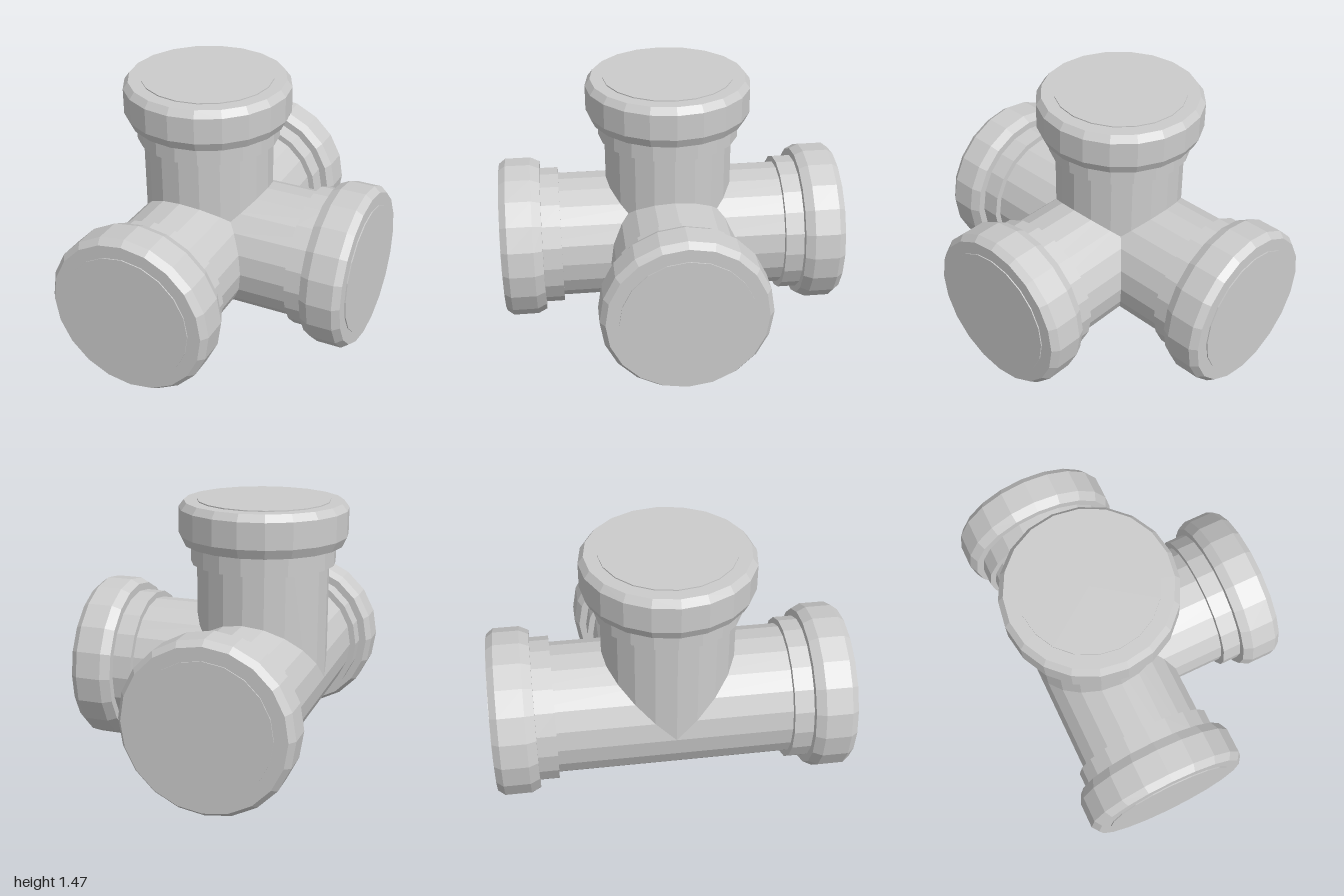
import * as THREE from 'three';

const SIDES = 20;
const PIPE_R = 0.37;
const material = new THREE.MeshStandardMaterial({ color: 0xcccccc, flatShading: true });

const lathe = (points) =>
  new THREE.LatheGeometry(points.map(([r, y]) => new THREE.Vector2(r, y)), SIDES);

// Pipe along +y with a closed outer end; a branch is cut to saddle onto the main run
function pipeGeometry(saddled) {
  const geometry = lathe([[PIPE_R, 0], [PIPE_R, 1], [0, 1]]);
  const p = geometry.attributes.position;
  if (saddled) {
    for (let i = 0; i < p.count; i++) {
      if (p.getY(i) < 0.001) p.setY(i, Math.abs(p.getZ(i)));
    }
    geometry.computeVertexNormals();
  }
  return geometry;
}

// Narrow stepped collar behind the socket
const collarGeometry = lathe([
  [PIPE_R, 0.65], [0.405, 0.65], [0.405, 0.76],
]);

// Wide socket rim with a chamfer on both edges
const socketGeometry = lathe([
  [PIPE_R, 0.758], [0.447, 0.758], [0.472, 0.81],
  [0.472, 0.955], [0.443, 0.994], [PIPE_R, 0.994],
]);

function createArm(name, saddled, rx, rz) {
  const arm = new THREE.Group();
  arm.name = name;
  const parts = { Pipe: pipeGeometry(saddled), Collar: collarGeometry, Socket: socketGeometry };
  for (const [part, geometry] of Object.entries(parts)) {
    const mesh = new THREE.Mesh(geometry, material);
    mesh.name = name + part;
    arm.add(mesh);
  }
  arm.rotation.set(rx, 0, rz);
  return arm;
}

export function createModel() {
  const model = new THREE.Group();
  model.name = 'pipeFitting';

  // Four equal arms meeting at one point
  const junction = new THREE.Group();
  junction.name = 'junction';
  junction.position.set(-0.265, 0.473, 0);
  junction.add(
    createArm('front', false, Math.PI / 2, 0),
    createArm('back', false, -Math.PI / 2, 0),
    createArm('top', true, 0, 0),
    createArm('left', true, 0, -Math.PI / 2),
  );
  model.add(junction);
  return model;
}
